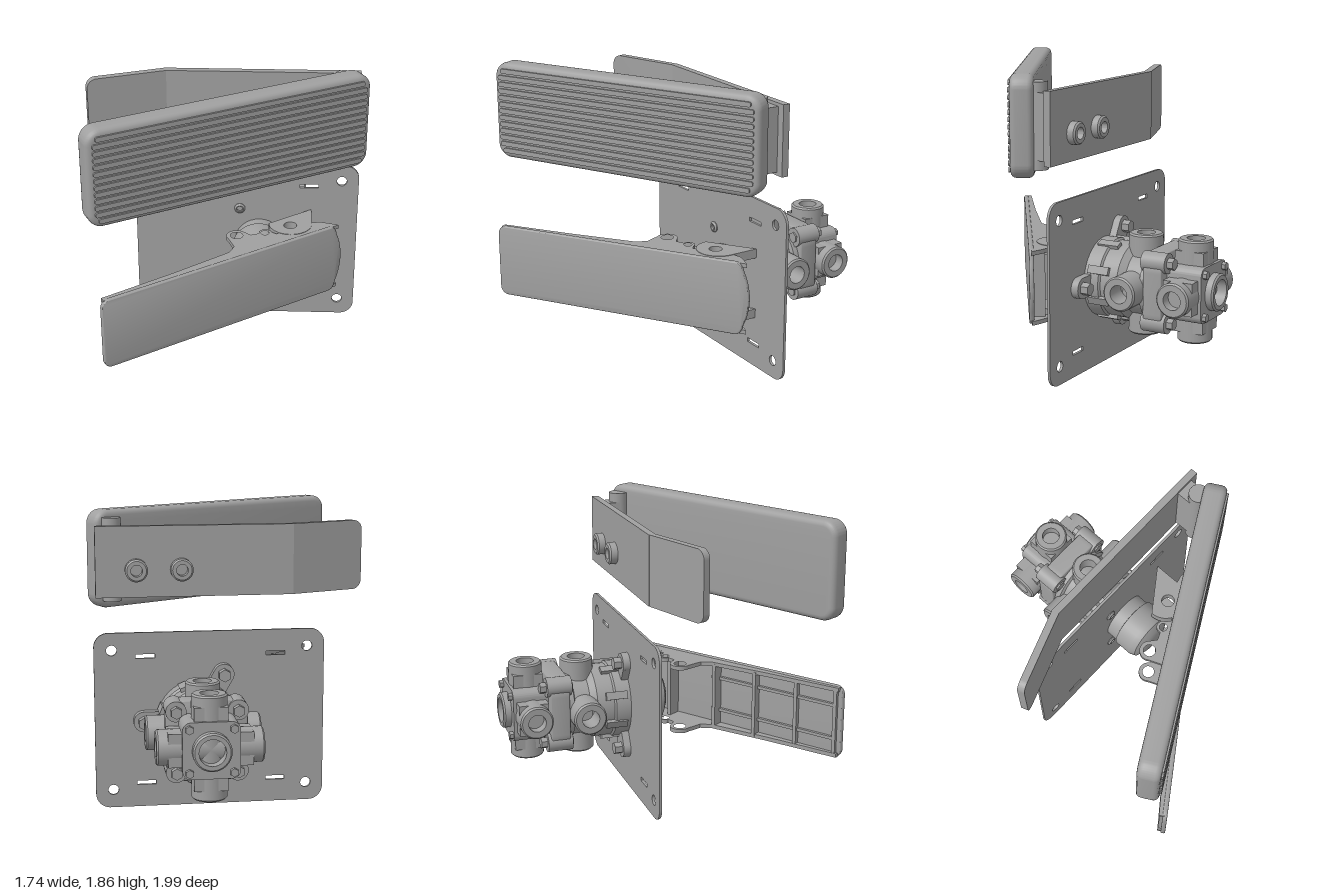
import * as THREE from 'three';
import { toCreasedNormals } from 'three/addons/utils/BufferGeometryUtils.js';

const V = (x, y, z) => new THREE.Vector3(x, y, z);

export function createModel() {
  const model = new THREE.Group();
  model.name = 'pedalAssembly';
  const metal = new THREE.MeshStandardMaterial({ color: 0xa0a0a0 });
  metal.name = 'grey metal';

  const add = (name, geo, parent = model) => {
    const mesh = new THREE.Mesh(toCreasedNormals(geo, 0.6), metal);
    mesh.name = name;
    parent.add(mesh);
    return mesh;
  };
  const box = (name, x0, x1, y0, y1, z0, z1, parent) => add(name,
    new THREE.BoxGeometry(x1 - x0, y1 - y0, z1 - z0).translate((x0 + x1) / 2, (y0 + y1) / 2, (z0 + z1) / 2), parent);
  const circleHole = (shape, x, y, r) => shape.holes.push(new THREE.Path().absarc(x, y, r, 0, Math.PI * 2, true));
  const roundRect = (cx, cy, w, h, r) => {
    const s = new THREE.Shape(), a = w / 2 - r, b = h / 2 - r;
    s.absarc(cx + a, cy + b, r, 0, Math.PI / 2);
    s.absarc(cx - a, cy + b, r, Math.PI / 2, Math.PI);
    s.absarc(cx - a, cy - b, r, Math.PI, Math.PI * 1.5);
    s.absarc(cx + a, cy - b, r, Math.PI * 1.5, Math.PI * 2);
    return s;
  };
  // front-facing outline extruded from z0 to z1
  const slab = (shape, z0, z1, bevel = 0) => new THREE.ExtrudeGeometry(shape, {
    depth: z1 - z0 - 2 * bevel, bevelEnabled: bevel > 0, bevelSize: bevel, bevelOffset: -bevel,
    bevelThickness: bevel, bevelSegments: 4, curveSegments: 10,
  }).translate(0, 0, z0 + bevel);
  // plan outline (x, -z) extruded from y0 to y1
  const planSlab = (shape, y0, y1) => slab(shape, y0, y1).rotateX(-Math.PI / 2);
  // round part turned about an axis, profile of [radius, height]
  const turned = (name, profile, pos, dir, parent, sides = 32) => {
    const g = new THREE.LatheGeometry(profile.map(p => new THREE.Vector2(...p)), sides);
    g.applyQuaternion(new THREE.Quaternion().setFromUnitVectors(V(0, 1, 0), dir)).translate(pos.x, pos.y, pos.z);
    return add(name, g, parent);
  };
  const hollow = (ro, ri, h, d) => [[0, 0], [ro, 0], [ro, h - 0.01], [ro - 0.01, h], [ri, h], [ri, h - d], [0, h - d]];
  const solid = (r, h) => [[0, 0], [r, 0], [r, h], [0, h]];
  const BACK = V(0, 0, -1), FRONT = V(0, 0, 1), UP = V(0, 1, 0);

  // mounting plate with bolt holes and slots
  const plate = roundRect(0.125, 0.56, 1.45, 1.12, 0.09);
  for (const y of [0.115, 1.01]) for (const x of [-0.49, 0.74]) circleHole(plate, x, y, 0.033);
  for (const y of [0.155, 0.97]) for (const x of [-0.29, 0.53]) {
    plate.holes.push(new THREE.Path([[-1, -1], [-1, 1], [1, 1], [1, -1]].map(
      ([i, j]) => new THREE.Vector2(x + i * 0.06, y + j * 0.013))));
  }
  add('mountingPlate', slab(plate, -0.198, -0.181));
  for (const y of [0.32, 0.8]) turned('plateScrew', hollow(0.035, 0.018, 0.02, 0.015), V(0.08, y, -0.185), FRONT);

  // upper pedal pad with long grip ribs
  const pad = new THREE.Group();
  pad.name = 'upperPedal';
  pad.position.set(0.04, 1.557, 0.44);
  pad.rotation.y = 0.503;
  model.add(pad);
  add('padBody', slab(roundRect(0, 0, 1.85, 0.615, 0.09), -0.075, 0.065, 0.035), pad);
  for (let i = 0; i < 13; i++) {
    const y = (i - 6) * 0.0428;
    add('gripRib', slab(roundRect(0, y, 1.78 - (Math.abs(i - 6) > 5 ? 0.04 : 0), 0.03, 0.012), 0.06, 0.076), pad);
  }

  // bent bracket behind the upper pad
  const bracket = new THREE.Group();
  bracket.name = 'upperBracket';
  model.add(bracket);
  box('bracketPlate', -0.4, 0.83, 1.34, 1.78, -0.197, -0.152, bracket);
  const wing = new THREE.Shape();
  wing.moveTo(0, -0.22);
  wing.lineTo(0, 0.22);
  wing.lineTo(-0.45, 0.22);
  wing.absarc(-0.45, 0.16, 0.06, Math.PI / 2, Math.PI);
  wing.absarc(-0.45, -0.16, 0.06, Math.PI, Math.PI * 1.5);
  const wingMesh = add('bracketWing', slab(wing, 0, 0.045), bracket);
  wingMesh.position.set(-0.39, 1.56, -0.197);
  wingMesh.rotation.y = 0.345;
  for (const x of [0.3, 0.58]) turned('bracketBolt', hollow(0.07, 0.036, 0.06, 0.05), V(x, 1.51, -0.19), BACK, bracket);
  turned('hingeBarrel', solid(0.06, 0.52), V(0.72, 1.3, -0.045), UP, bracket);
  box('hingeBlock', 0.66, 0.78, 1.36, 1.76, -0.16, -0.045, bracket);

  // lower pedal: face plate
  const lower = new THREE.Group();
  lower.name = 'lowerPedal';
  model.add(lower);
  const face = new THREE.Shape();
  face.moveTo(-0.82, -0.237);
  face.lineTo(0.77, -0.237);
  face.quadraticCurveTo(0.81, -0.235, 0.82, -0.18);
  face.quadraticCurveTo(0.9, 0, 0.82, 0.18);
  face.quadraticCurveTo(0.81, 0.235, 0.77, 0.237);
  face.lineTo(-0.82, 0.237);
  face.absarc(-0.82, 0.182, 0.055, Math.PI / 2, Math.PI);
  face.absarc(-0.82, -0.182, 0.055, Math.PI, Math.PI * 1.5);
  const faceGroup = new THREE.Group();
  faceGroup.name = 'lowerPedalFace';
  faceGroup.position.set(0.035, 0.563, 0.497);
  faceGroup.rotation.y = 0.599;
  lower.add(faceGroup);
  add('facePlate', slab(face, -0.03, 0, 0.008), faceGroup);
  // cross ribs and spine in the hollow back
  for (const [u, d] of [[-0.83, 0.05], [-0.55, 0.06], [-0.25, 0.08], [0.05, 0.1], [0.4, 0.12], [0.72, 0.1]])
    box('crossRib', u - 0.012, u + 0.012, -0.22, 0.22, -d, -0.02, faceGroup);
  for (const y of [-0.11, 0.11]) box('spineRib', -0.83, 0.1, y - 0.01, y + 0.01, -0.05, -0.02, faceGroup);

  // lower pedal side walls with pivot lugs
  const wall = new THREE.Shape();
  [[-0.68, 0.965], [-0.7, 0.935], [-0.3, 0.64], [0.03, 0.38], [0.06, 0.31], [0.025, 0.225]]
    .forEach(([x, z], i) => i ? wall.lineTo(x, -z) : wall.moveTo(x, -z));
  wall.absarc(0.07, -0.17, 0.065, Math.PI * 1.2, Math.PI * 0.3, true);
  wall.lineTo(0.16, -0.16);
  wall.absarc(0.25, -0.125, 0.04, Math.PI * 1.1, Math.PI * 0.1, true);
  [[0.32, 0.14], [0.45, 0.06], [0.54, -0.01], [0.6, -0.025], [0.66, -0.01], [0.72, 0.01]]
    .forEach(([x, z]) => wall.lineTo(x, -z));
  circleHole(wall, 0.07, -0.17, 0.04);
  circleHole(wall, 0.25, -0.13, 0.026);
  for (const y of [0.332, 0.768]) add('sideWall', planSlab(wall, y, y + 0.026), lower);

  // clevis ears joining the plate to the pedal
  const ear = new THREE.Shape();
  ear.moveTo(0.27, 0.185);
  ear.absarc(0.41, -0.01, 0.138, Math.PI, Math.PI * 2);
  ear.lineTo(0.548, 0.185);
  circleHole(ear, 0.41, -0.03, 0.042);
  for (const y of [0.335, 0.737]) add('clevisEar', planSlab(ear, y, y + 0.06));

  // valve behind the plate, turned about its long axis
  const valve = new THREE.Group();
  valve.name = 'valve';
  model.add(valve);
  const cx = 0.21, cy = 0.56, at = z => V(cx, cy, z);
  turned('plunger', [[0, 0], [0.16, 0], [0.16, 0.09], [0.175, 0.095], [0.175, 0.21], [0.16, 0.25], [0.11, 0.275], [0, 0.275]],
    at(-0.19), FRONT, valve);
  turned('valveBody', [[0, 0], [0.25, 0], [0.25, 0.1], [0.237, 0.11], [0.237, 0.22], [0.205, 0.26], [0.205, 0.36],
    [0.23, 0.37], [0.23, 0.42], [0, 0.42]], at(-0.195), BACK, valve, 40);

  // three flange tabs with bolts
  for (let i = 0; i < 3; i++) {
    const a = i * Math.PI * 2 / 3;
    const x = cx + 0.335 * Math.cos(a), y = cy + 0.29 * Math.sin(a) / 0.866;
    turned('flangeTab', solid(0.065, 0.05), V(x, y, -0.195), BACK, valve);
    turned('flangeNut', solid(0.04, 0.1), V(x, y, -0.195), BACK, valve, 6);
    const web = box('flangeWeb', 0.15, 0.335, -0.065, 0.065, -0.245, -0.196, valve);
    web.position.set(cx, cy, 0);
    web.rotation.z = a;
  }
  // small ribs around the body
  for (let i = 0; i < 8; i++) {
    const rib = box('bodyRib', 0.2, 0.26, -0.025, 0.025, -0.36, -0.22, valve);
    rib.position.set(cx, cy, 0);
    rib.rotation.z = (i + 0.5) * Math.PI / 4;
  }

  // two rows of four ports
  for (let i = 0; i < 4; i++) {
    const dir = V(Math.round(Math.cos(i * Math.PI / 2)), Math.round(Math.sin(i * Math.PI / 2)), 0);
    const len = dir.x ? 0.35 : 0.313;
    turned('frontPort', hollow(0.106, 0.056, len, 0.14), at(-0.495), dir, valve);
    turned('rearPort', hollow(0.106, 0.056, 0.316, 0.12), at(-0.832), dir, valve);
    const boss = box('rearPortBoss', 0.1, 0.25, -0.1, 0.1, -0.93, -0.74, valve);
    boss.position.set(cx, cy, 0);
    boss.rotation.z = i * Math.PI / 2;
  }

  // rear flange, bolted at its corners
  add('rearFlange', slab(roundRect(cx, cy, 0.49, 0.49, 0.12), -0.725, -0.6, 0.01), valve);
  for (const i of [-1, 1]) for (const j of [-1, 1]) {
    const x = cx + i * 0.185, y = cy + j * 0.185;
    turned('flangeLug', solid(0.062, 0.16), V(x, y, -0.585), BACK, valve);
    turned('flangeBolt', solid(0.036, 0.21), V(x, y, -0.575), BACK, valve, 6);
    turned('headBolt', solid(0.026, 0.03), V(cx + i * 0.13, cy + j * 0.13, -0.945), BACK, valve, 6);
  }

  // rear head with open outlet
  const head = roundRect(cx, cy, 0.34, 0.34, 0.05);
  circleHole(head, cx, cy, 0.1);
  add('rearHead', slab(head, -0.95, -0.72), valve);
  turned('outlet', hollow(0.115, 0.08, 0.27, 0.16), at(-0.73), BACK, valve);

  return model;
}
